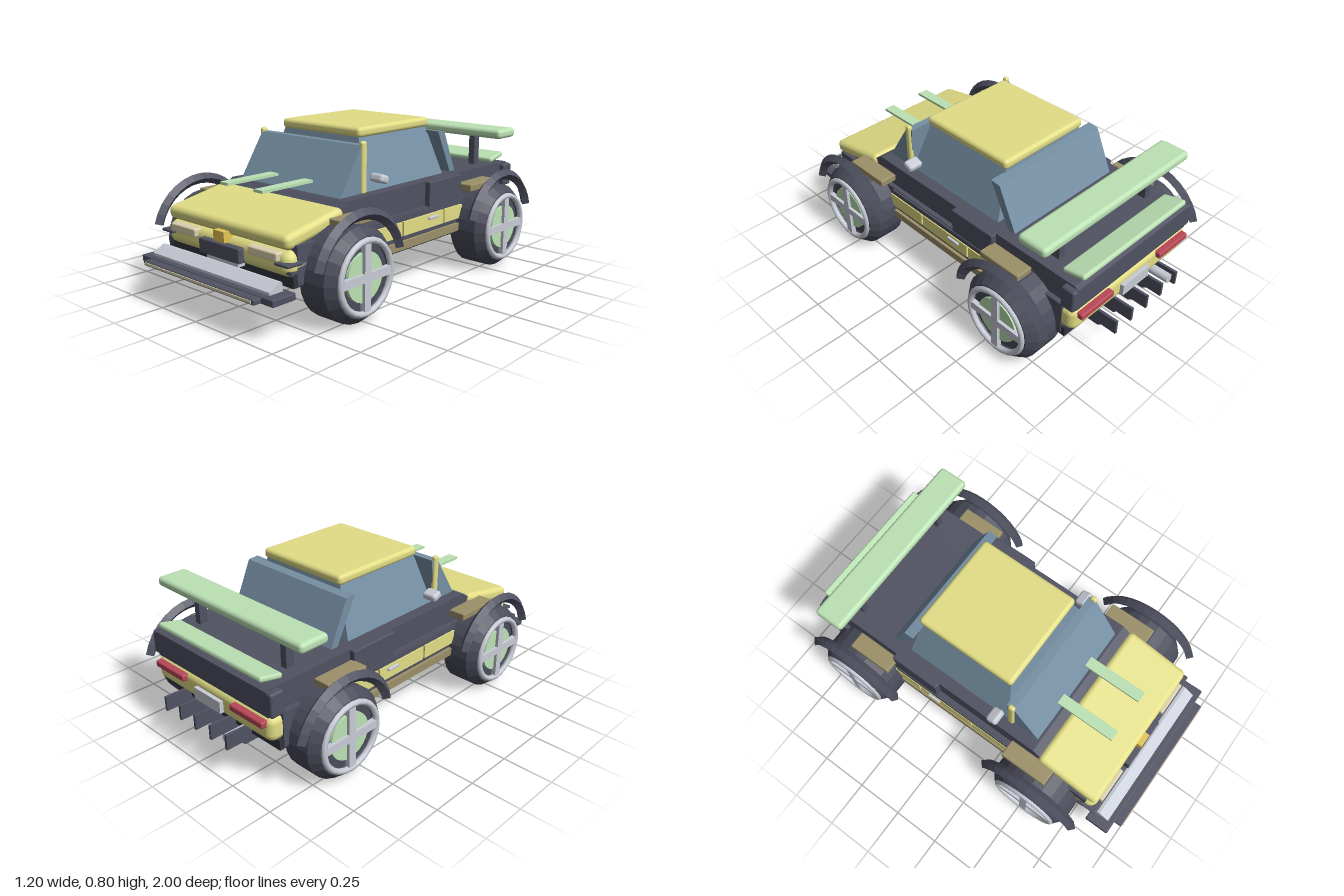
import * as THREE from 'three';
import { RoundedBoxGeometry } from 'three/addons/geometries/RoundedBoxGeometry.js';

const mat = (color) => new THREE.MeshStandardMaterial({ color });
const dark = mat(0x505262), yellow = mat(0xe2de86), green = mat(0xbce2b4), glass = mat(0x7690a4);
const silver = mat(0xc8ccd6), red = mat(0xb94757), tan = mat(0x9b9068), cream = mat(0xdbd2b0);
const amber = mat(0xe6c552), rubber = mat(0x4a4c5a), floorDark = mat(0x33343f);

export function createModel() {
  const car = new THREE.Group();
  car.name = 'car';

  const add = (name, geometry, material, x = 0, y = 0, z = 0, parent = car) => {
    const mesh = new THREE.Mesh(geometry, material);
    mesh.name = name;
    mesh.position.set(x, y, z);
    parent.add(mesh);
    return mesh;
  };
  // Box given by its limits on each axis; r rounds the edges
  const box = (name, material, [x0, x1], [y0, y1], [z0, z1], r = 0) => {
    const s = [x1 - x0, y1 - y0, z1 - z0];
    const g = r ? new RoundedBoxGeometry(...s, 3, r) : new THREE.BoxGeometry(...s);
    return add(name, g, material, (x0 + x1) / 2, (y0 + y1) / 2, (z0 + z1) / 2);
  };
  // The same box on both sides
  const pair = (name, material, [x0, x1], y, z, r = 0) => [
    box(name + 'Left', material, [x0, x1], y, z, r),
    box(name + 'Right', material, [-x1, -x0], y, z, r),
  ];
  // Side outline of [z, y] points extruded across the width
  const slab = (name, material, points, width) => {
    const shape = new THREE.Shape(points.map(([z, y]) => new THREE.Vector2(-z, y)));
    const g = new THREE.ExtrudeGeometry(shape, { depth: width, bevelEnabled: false });
    g.translate(0, 0, -width / 2).rotateY(Math.PI / 2);
    return add(name, g, material);
  };

  // Body
  box('floorPan', floorDark, [-0.42, 0.42], [0.2, 0.25], [-0.86, 0.8]);
  box('lowerBody', dark, [-0.425, 0.425], [0.21, 0.385], [-0.84, 0.78]);
  slab('upperBody', dark, [[-0.9, 0.375], [-0.905, 0.5], [-0.88, 0.51], [0.44, 0.51], [0.5, 0.47], [0.78, 0.385], [0.78, 0.375]], 0.8);
  box('rearCornerPanel', dark, [-0.43, 0.43], [0.38, 0.5], [-0.905, -0.83], 0.012);
  box('rearBumper', yellow, [-0.42, 0.42], [0.245, 0.375], [-0.905, -0.74], 0.04);
  box('frontBumper', yellow, [-0.425, 0.425], [0.245, 0.362], [0.62, 0.83], 0.045);
  const hood = add('hood', new RoundedBoxGeometry(0.83, 0.07, 0.36, 3, 0.028), yellow, 0, 0.428, 0.65);
  hood.rotation.x = 0.19;

  // Side panels split by thin gaps, sill, handle and air intake
  for (const [z0, z1] of [[0.09, 0.33], [-0.245, 0.08], [-0.41, -0.255]]) {
    pair('sidePanel', yellow, [0.41, 0.437], [0.28, 0.35], [z0, z1]);
  }
  pair('sideTrim', dark, [0.41, 0.435], [0.355, 0.38], [-0.4, 0.32]);
  pair('sill', tan, [0.41, 0.442], [0.215, 0.255], [-0.41, 0.33]);
  pair('doorHandle', silver, [0.43, 0.448], [0.322, 0.338], [-0.19, -0.115], 0.005);
  pair('sideIntake', dark, [0.38, 0.43], [0.37, 0.51], [-0.41, -0.135], 0.006);

  // Cabin: cross-section narrowed towards the roof
  const cabin = new THREE.BoxGeometry(0.68, 0.25, 0.6);
  const p = cabin.attributes.position;
  for (let i = 0; i < p.count; i++) {
    const top = p.getY(i) > 0;
    const front = p.getZ(i) > 0;
    p.setX(i, Math.sign(p.getX(i)) * (top ? 0.25 : 0.34));
    p.setZ(i, front ? (top ? 0.2 : 0.25) : (top ? -0.32 : -0.36));
  }
  cabin.computeVertexNormals();
  add('cabin', cabin, glass, 0, 0.633, 0);
  slab('windshield', glass, [[0.43, 0.505], [0.28, 0.735], [0.24, 0.735], [0.26, 0.505]], 0.68);
  slab('rearWindow', glass, [[-0.47, 0.51], [-0.37, 0.73], [-0.315, 0.735], [-0.43, 0.505]], 0.68);
  box('roof', yellow, [-0.265, 0.265], [0.752, 0.802], [-0.335, 0.21], 0.02);
  pair('windshieldPillar', yellow, [0.326, 0.352], [0.505, 0.755], [0.25, 0.285], 0.012);
  pair('mirror', silver, [0.34, 0.42], [0.555, 0.596], [0.17, 0.23], 0.015).forEach((m) => { m.rotation.x = -0.35; });
  pair('hoodStripe', green, [0.09, 0.147], [0.554, 0.567], [0.405, 0.72]);

  // Front end
  pair('headlight', cream, [0.183, 0.37], [0.316, 0.356], [0.8, 0.848], 0.008);
  pair('bumperVane', dark, [0.355, 0.44], [0.303, 0.317], [0.76, 0.85], 0.005);
  pair('cornerTrim', dark, [0.39, 0.43], [0.265, 0.277], [0.72, 0.82]);
  box('frontPlate', dark, [-0.14, 0.14], [0.26, 0.33], [0.81, 0.86], 0.006);
  box('noseBadge', amber, [-0.037, 0.037], [0.335, 0.386], [0.8, 0.855]);
  box('lowerGrille', silver, [-0.11, 0.11], [0.235, 0.262], [0.8, 0.84]);
  slab('frontLip', silver, [[0.925, 0.2], [0.925, 0.215], [0.87, 0.247], [0.855, 0.245], [0.85, 0.2]], 0.82);
  box('splitter', dark, [-0.462, 0.462], [0.17, 0.203], [0.825, 0.955], 0.006);
  box('splitterEdge', dark, [-0.39, 0.39], [0.173, 0.198], [0.95, 0.995], 0.006);
  box('splitterTrim', cream, [-0.375, 0.375], [0.181, 0.192], [0.985, 1]);
  for (const x of [-0.225, -0.075, 0.075, 0.225]) {
    add('splitterBolt', new THREE.CylinderGeometry(0.006, 0.006, 0.02, 8), dark, x, 0.165, 0.9);
  }

  // Rear end
  pair('tailLight', red, [0.17, 0.39], [0.325, 0.358], [-0.93, -0.89], 0.008);
  box('rearPlate', silver, [-0.095, 0.095], [0.27, 0.33], [-0.925, -0.895]);
  for (let i = -2; i <= 2; i++) {
    const x = i * 0.1125;
    slab('diffuserFin', dark, [[-0.8, 0.25], [-0.8, 0.2], [-0.82, 0.163], [-0.9, 0.163], [-0.92, 0.18], [-1, 0.18], [-1, 0.255]], 0.014).position.x = x;
  }
  const pipe = add('exhaust', new THREE.CylinderGeometry(0.024, 0.024, 0.14, 16), silver, -0.2, 0.215, -0.91);
  pipe.rotation.x = Math.PI / 2;
  const lip = add('rearLip', new RoundedBoxGeometry(0.74, 0.028, 0.125, 3, 0.012), green, 0, 0.533, -0.845);
  lip.rotation.x = 0.22;
  box('wing', green, [-0.507, 0.507], [0.67, 0.72], [-0.8, -0.64], 0.02);
  pair('wingPost', dark, [0.29, 0.325], [0.5, 0.68], [-0.725, -0.68]);

  // Wheels, arches and arch caps
  const profile = [[0, -0.1], [0.12, -0.1], [0.19, -0.115], [0.22, -0.085], [0.22, 0.055], [0.185, 0.098], [0.16, 0.1], [0.155, 0.08], [0, 0.08]]
    .map(([r, h]) => new THREE.Vector2(r, h));
  const flat = rubber.clone();
  flat.flatShading = true;
  const tyreGeo = new THREE.LatheGeometry(profile, 24).rotateZ(-Math.PI / 2);
  const rimGeo = new THREE.TorusGeometry(0.165, 0.015, 8, 24).rotateY(Math.PI / 2);
  const hubGeo = new THREE.CylinderGeometry(0.115, 0.115, 0.03, 24).rotateZ(Math.PI / 2);
  const archEnd = 0.29;
  const archGeo = new THREE.TorusGeometry(0.275, 0.027, 4, 14, Math.PI - 2 * archEnd);
  archGeo.rotateZ(archEnd).rotateY(Math.PI / 2);
  const archMat = dark.clone();
  archMat.flatShading = true;
  archMat.side = THREE.DoubleSide;

  for (const side of [1, -1]) {
    for (const [end, z] of [['front', 0.525], ['rear', -0.595]]) {
      const wheel = new THREE.Group();
      wheel.name = end + 'Wheel';
      wheel.position.set(side * 0.485, 0.22, z);
      wheel.rotation.y = side > 0 ? 0 : Math.PI;
      add('tyre', tyreGeo, flat, 0, 0, 0, wheel);
      add('rim', rimGeo, silver, 0.1, 0, 0, wheel);
      add('hub', hubGeo, green, 0.08, 0, 0, wheel);
      add('spokeUpright', new THREE.BoxGeometry(0.025, 0.33, 0.04), silver, 0.098, 0, 0, wheel);
      add('spokeLevel', new THREE.BoxGeometry(0.025, 0.04, 0.33), silver, 0.098, 0, 0, wheel);
      car.add(wheel);
      add(end + 'Arch', archGeo, archMat, side * 0.555, 0.22, z);
    }
  }
  pair('frontArchCap', tan, [0.405, 0.496], [0.425, 0.462], [0.32, 0.575], 0.006);
  pair('rearArchCap', tan, [0.405, 0.496], [0.425, 0.462], [-0.64, -0.4], 0.006);

  return car;
}
